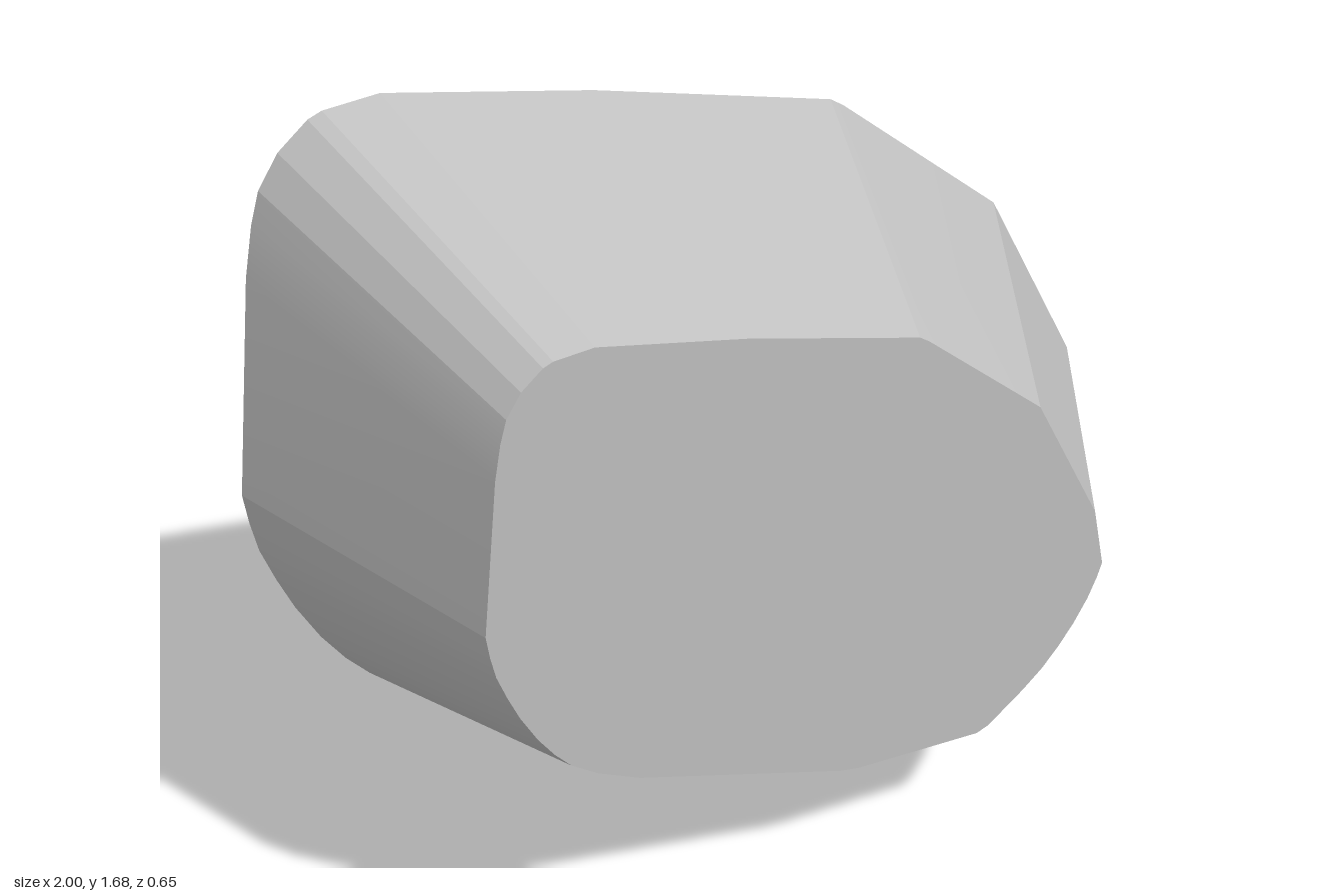
import * as THREE from 'three';
import { toCreasedNormals } from 'three/addons/utils/BufferGeometryUtils.js';

const DEPTH = 0.65;
const TAPER = 0.7; // size of the front face relative to the back face
const CENTRE = [-0.2, 0.783]; // point the sides taper towards

// Outline of the large back face, counter-clockwise
const OUTLINE = [
  [-0.65, 1.677], [-0.77, 1.667], [-0.8, 1.655], [-0.865, 1.6], [-0.91, 1.53],
  [-0.93, 1.46], [-0.95, 1.35], [-1, 0.87], [-0.99, 0.8], [-0.975, 0.73],
  [-0.945, 0.65], [-0.91, 0.57], [-0.86, 0.48], [-0.81, 0.41], [-0.76, 0.355],
  [-0.68, 0.3], [-0.55, 0.237], [0.11, 0.026], [0.17, 0.015], [0.58, 0],
  [0.62, 0.015], [0.74, 0.108], [0.805, 0.166], [0.86, 0.229], [0.91, 0.297],
  [0.955, 0.373], [0.985, 0.441], [1, 0.487], [0.963, 0.68], [0.75, 1.1],
  [0.37, 1.42], [0.34, 1.44], [-0.2, 1.582],
];

export function createModel() {
  const stone = new THREE.MeshStandardMaterial({ color: 0xbfbfbf });
  stone.name = 'light grey';

  // Straight block, then its front face is shrunk to slope the sides
  const shape = new THREE.Shape(OUTLINE.map(([x, y]) => new THREE.Vector2(x, y)));
  const block = new THREE.ExtrudeGeometry(shape, { depth: DEPTH, bevelEnabled: false });
  block.translate(0, 0, -DEPTH / 2);
  const pos = block.attributes.position;
  for (let i = 0; i < pos.count; i++) {
    if (pos.getZ(i) < 0) continue;
    pos.setX(i, CENTRE[0] + (pos.getX(i) - CENTRE[0]) * TAPER);
    pos.setY(i, CENTRE[1] + (pos.getY(i) - CENTRE[1]) * TAPER);
  }

  // Rounded corners stay smooth, broad facets stay crisp
  const rock = new THREE.Mesh(toCreasedNormals(block, 0.22), stone);
  rock.name = 'taperedRock';

  const model = new THREE.Group();
  model.name = 'rock';
  model.add(rock);
  return model;
}
